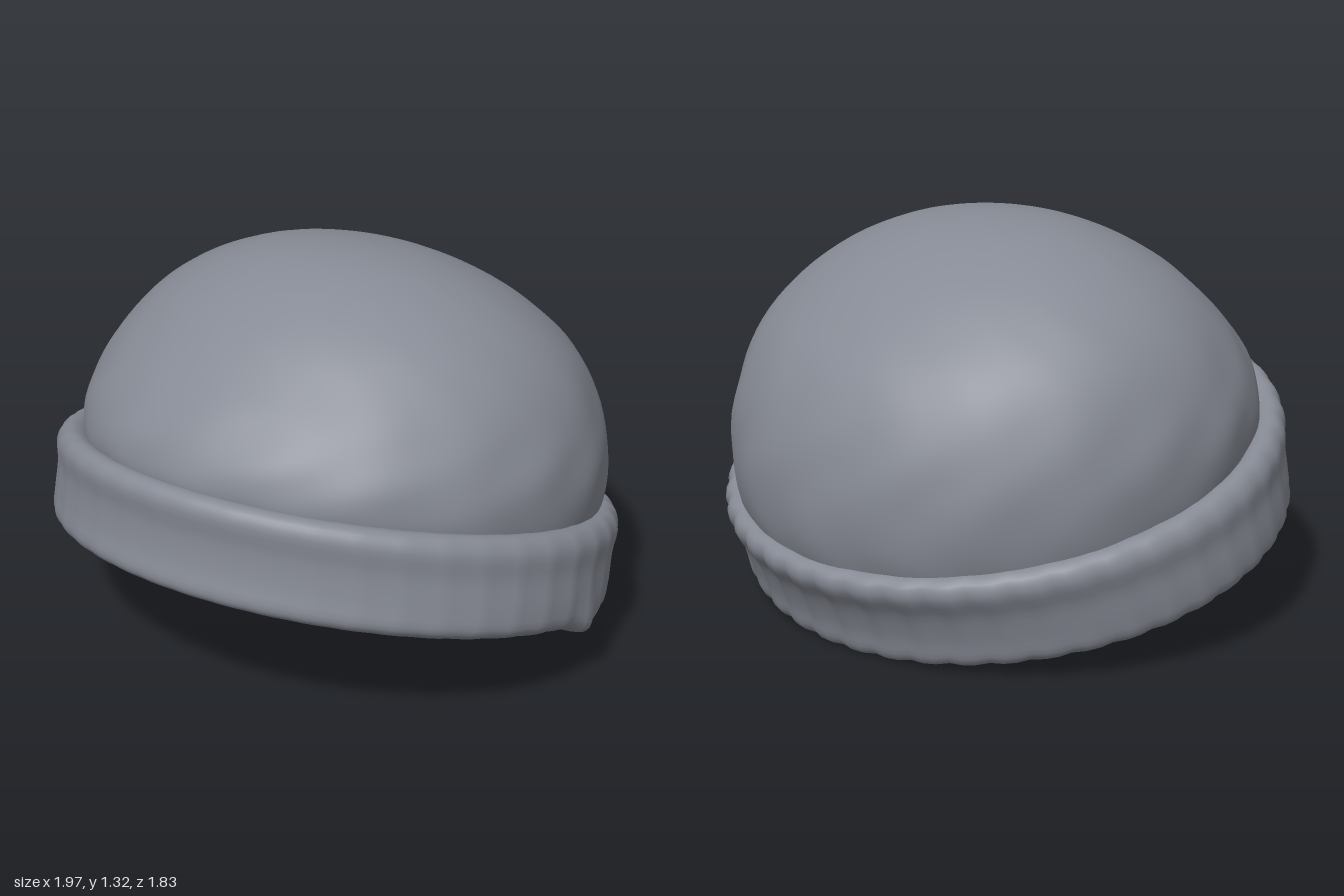
import * as THREE from 'three';
import { mergeVertices } from 'three/addons/utils/BufferGeometryUtils.js';

const SEG = 132;

// Smooth skin over rings of points; columns always wrap, rows wrap if closed.
function loft(rows, pointAt, closed) {
  const pos = [], idx = [];
  for (let i = 0; i < rows; i++)
    for (let j = 0; j < SEG; j++) pos.push(...pointAt(i, (j / SEG) * Math.PI * 2));
  for (let i = 0; i < (closed ? rows : rows - 1); i++)
    for (let j = 0; j < SEG; j++) {
      const k = (j + 1) % SEG, n = (i + 1) % rows;
      const a = i * SEG + j, b = i * SEG + k, c = n * SEG + k, d = n * SEG + j;
      idx.push(a, b, c, a, c, d);
    }
  let g = new THREE.BufferGeometry();
  g.setAttribute('position', new THREE.Float32BufferAttribute(pos, 3));
  g.setIndex(idx);
  g = mergeVertices(g, 1e-4);
  g.computeVertexNormals();
  return g;
}

const spline = (pts, closed, n) =>
  new THREE.CatmullRomCurve3(pts.map((p) => new THREE.Vector3(...p)), closed, 'centripetal').getPoints(n);

// Crown: each ring has a front point (z, y), a back point (z, y) and a half width
function crownGeometry() {
  const rings = [
    [0.74, 0.60, -0.84, 0.22, 0.87],
    [0.80, 0.75, -0.90, 0.38, 0.90],
    [0.775, 0.85, -0.912, 0.56, 0.897],
    [0.69, 0.96, -0.875, 0.74, 0.852],
    [0.58, 1.06, -0.79, 0.91, 0.78],
    [0.45, 1.165, -0.67, 1.04, 0.67],
    [0.30, 1.25, -0.52, 1.16, 0.51],
    [0.16, 1.30, -0.32, 1.265, 0.31],
    [0.04, 1.318, -0.14, 1.31, 0.12],
    [-0.04, 1.32, -0.04, 1.32, 0],
  ];
  const n = 40;
  const front = spline(rings.map((r) => [0, r[1], r[0]]), false, n);
  const back = spline(rings.map((r) => [0, r[3], r[2]]), false, n);
  const side = spline(rings.map((r) => [r[4], (r[1] + r[3]) / 2, 0]), false, n);
  return loft(n + 1, (i, t) => {
    const f = front[i], b = back[i], c = Math.cos(t), s = Math.sin(t);
    // soft knitted creases, strongest low on the crown
    const low = 1 - i / n;
    const k = 1 + 0.006 * low * Math.sin(15 * t + 2 * Math.sin(i * 0.3)) * Math.sin(i * 0.35 + 3 * t);
    const y = (f.y + b.y) / 2 + ((f.y - b.y) / 2) * c;
    const z = (f.z + b.z) / 2 + ((f.z - b.z) / 2) * c * k;
    return [side[i].x * s * k, y, z];
  }, false);
}

// Folded cuff: closed section of (height, half width, half depth)
function cuffGeometry() {
  const section = [
    [0.0, 0.925, 0.86], [0.03, 0.972, 0.885], [0.1, 0.98, 0.887], [0.2, 0.972, 0.905],
    [0.28, 0.972, 0.935], [0.32, 0.95, 0.925], [0.335, 0.915, 0.89], [0.315, 0.87, 0.84],
    [0.26, 0.84, 0.785], [0.15, 0.82, 0.745], [0.04, 0.805, 0.725], [0.0, 0.845, 0.775],
  ];
  const n = 40;
  const ring = spline(section.map(([h, x, z]) => [x, h, z]), true, n);
  return loft(n, (i, t) => {
    const p = ring[i], c = Math.cos(t), s = Math.sin(t);
    // ribs fade out across the smoother front
    const outer = THREE.MathUtils.smoothstep(p.x, 0.84, 0.95);
    const rib = 0.007 * outer * (0.65 - 0.35 * c) * (2 * Math.abs(Math.sin(22 * t)) - 1.2);
    // small pulled-out fold on the left lower edge
    const fold = 0.025 * outer * Math.exp(-(((t - 1.67) / 0.08) ** 2)) * (p.y < 0.12 ? 1 - p.y / 0.12 : 0);
    const k = 1 + rib + fold;
    return [p.x * s * k, p.y - fold * 1.2, p.z * c * k];
  }, true);
}

export function createModel() {
  const wool = new THREE.MeshStandardMaterial({ color: 0x868a94, side: THREE.DoubleSide });
  wool.name = 'grey wool';

  const hat = new THREE.Group();
  hat.name = 'knitted hat';

  const crown = new THREE.Mesh(crownGeometry(), wool);
  crown.name = 'crown';

  // The cuff sits tilted, higher at the front
  const cuff = new THREE.Mesh(cuffGeometry(), wool);
  cuff.name = 'cuff';
  cuff.position.set(0, 0.228, 0.06);
  cuff.rotation.x = -0.262;

  hat.add(crown, cuff);
  return hat;
}
